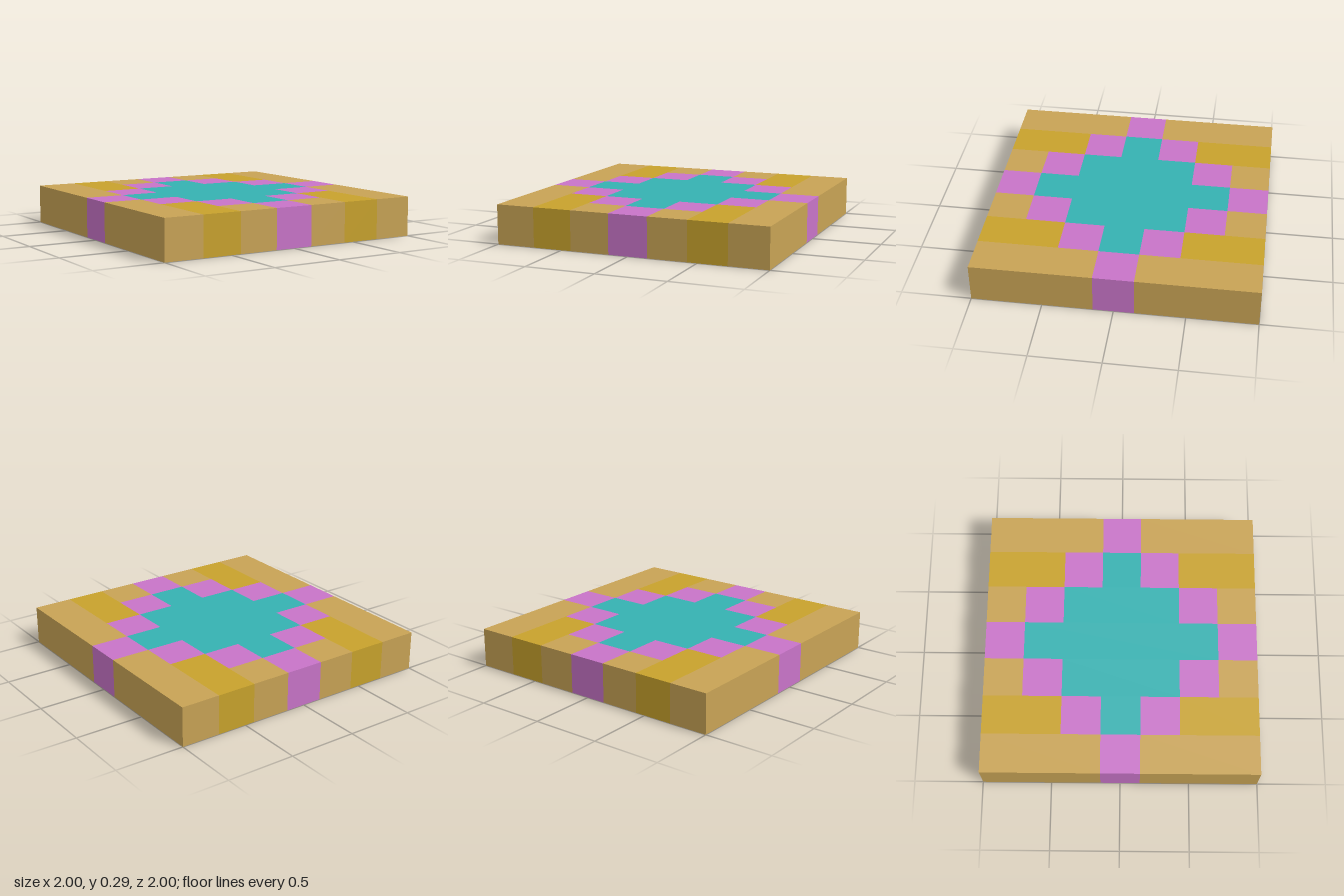
import * as THREE from 'three';

const CELLS = 7;
const HALF = 3;
const SIZE = 2 / CELLS;

function material(name, color) {
  const m = new THREE.MeshStandardMaterial({ color });
  m.name = name;
  return m;
}

export function createModel() {
  const group = new THREE.Group();
  group.name = 'patternedSlab';

  const tan = material('tan', 0xc8a355);
  const gold = material('gold', 0xc8a22c);
  const pink = material('pink', 0xc874c8);
  const teal = material('teal', 0x35b1b1);

  // A block one cell wide and high, covering rows z0 to z1 of column x
  function block(name, mat, x, z0, z1) {
    const geometry = new THREE.BoxGeometry(SIZE, SIZE, SIZE * (z1 - z0 + 1));
    const mesh = new THREE.Mesh(geometry, mat);
    mesh.name = name;
    mesh.position.set(x * SIZE, SIZE / 2, ((z0 + z1) / 2) * SIZE);
    group.add(mesh);
  }

  for (let x = -HALF; x <= HALF; x++) {
    const edge = HALF - Math.abs(x); // row of the diamond outline in this column
    const striped = Math.abs(x) === 2;

    // Diamond filling
    if (edge > 0) block('diamondCentre', teal, x, 1 - edge, edge - 1);

    // Diamond outline
    for (const z of new Set([-edge, edge])) block('diamondBorder', pink, x, z, z);

    // Plain and gold striped surround, front and back
    if (edge < HALF) {
      const name = striped ? 'goldStripe' : 'surround';
      const mat = striped ? gold : tan;
      block(name, mat, x, edge + 1, HALF);
      block(name, mat, x, -HALF, -edge - 1);
    }
  }
  return group;
}
